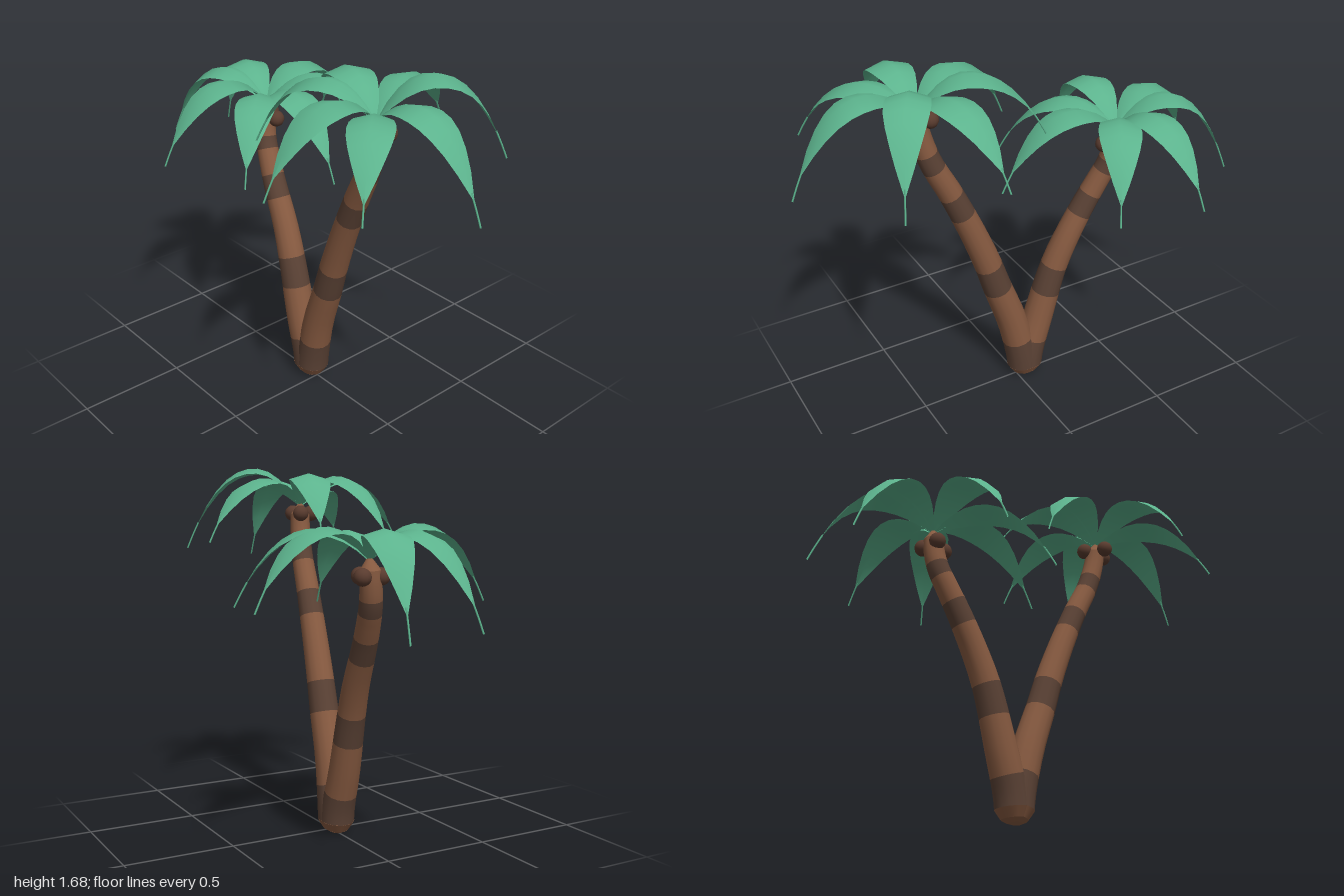
import * as THREE from 'three';

const mat = (name, color, side = THREE.FrontSide) => {
  const m = new THREE.MeshStandardMaterial({ color, side });
  m.name = name;
  return m;
};
const bark = mat('bark', 0x885b41);
const darkBark = mat('darkBark', 0x5b4235);
const nut = mat('coconutBrown', 0x5a3c2f);
const leaf = mat('leafGreen', 0x5cb38d, THREE.DoubleSide);

// One entry per tree: path points, band limits (heights), nuts and fronds [angle, peak, tip]
const TREES = [
  {
    name: 'tallPalm',
    path: [[-0.045, 0, 0], [-0.03, 0.12, 0], [0.018, 0.33, 0.008], [0.094, 0.55, 0.015], [0.142, 0.7, 0.02],
      [0.218, 0.9, 0.03], [0.305, 1.1, 0.042], [0.383, 1.26, 0.054], [0.424, 1.4, 0.064], [0.436, 1.51, 0.07]],
    bands: [0.065, 0.22, 0.54, 0.68, 0.98, 1.09, 1.23, 1.31, 1.46],
    crown: [0.436, 1.5, 0.07],
    nuts: [[0.437, 1.465, 0.13], [0.497, 1.465, 0.06], [0.382, 1.465, 0.045]],
    fronds: [[-1, 0.125, -0.25], [48, 0.1, -0.18], [91, 0.135, -0.18], [159, 0.14, -0.19],
      [197.5, 0.15, -0.15], [255, 0.13, -0.16], [300, 0.18, -0.2]],
  },
  {
    name: 'shortPalm',
    path: [[-0.048, 0, 0], [-0.066, 0.12, 0], [-0.12, 0.3, 0], [-0.2, 0.58, -0.01], [-0.26, 0.73, -0.022],
      [-0.347, 0.9, -0.035], [-0.4, 1.0, -0.048], [-0.448, 1.1, -0.064], [-0.465, 1.18, -0.075], [-0.468, 1.29, -0.085]],
    bands: [0.065, 0.2, 0.45, 0.59, 0.85, 0.95, 1.06, 1.12, 1.24],
    crown: [-0.468, 1.28, -0.085],
    nuts: [[-0.402, 1.215, -0.09], [-0.49, 1.215, -0.13], [-0.48, 1.215, -0.035]],
    fronds: [[6, 0.12, -0.21], [48, 0.11, -0.19], [94, 0.15, -0.18], [161, 0.13, -0.25],
      [196, 0.135, -0.27], [262, 0.14, -0.18], [302, 0.13, -0.19]],
  },
];

// Surface through a grid of points, with optional normals
function grid(rows, cols, point, normal) {
  const pos = [], nor = [], index = [];
  for (let i = 0; i <= rows; i++) {
    for (let j = 0; j <= cols; j++) {
      pos.push(...point(i, j));
      if (normal) nor.push(...normal(i, j));
      if (i < rows && j < cols) {
        const a = i * (cols + 1) + j, c = a + cols + 1;
        index.push(a, a + 1, c, a + 1, c + 1, c);
      }
    }
  }
  const g = new THREE.BufferGeometry();
  g.setAttribute('position', new THREE.Float32BufferAttribute(pos, 3));
  g.setIndex(index);
  if (normal) g.setAttribute('normal', new THREE.Float32BufferAttribute(nor, 3));
  else g.computeVertexNormals();
  return g;
}

function add(parent, name, geometry, material) {
  const m = new THREE.Mesh(geometry, material);
  m.name = name;
  parent.add(m);
  return m;
}

// Curve parameter at a given height
function paramAt(curve, y) {
  let lo = 0, hi = 1;
  for (let k = 0; k < 30; k++) {
    const mid = (lo + hi) / 2;
    if (curve.getPoint(mid).y < y) lo = mid; else hi = mid;
  }
  return lo;
}

// Tapered cylinder centred on the path between two heights
function taper(parent, name, curve, y0, y1, r0, r1, material) {
  const a = curve.getPoint(paramAt(curve, y0)), b = curve.getPoint(paramAt(curve, y1));
  const m = add(parent, name, new THREE.CylinderGeometry(r1, r0, a.distanceTo(b), 14), material);
  m.position.copy(a).add(b).multiplyScalar(0.5);
  m.quaternion.setFromUnitVectors(new THREE.Vector3(0, 1, 0), b.sub(a).normalize());
}

// Banded trunk swept along its path
function addTrunk(tree, spec) {
  const curve = new THREE.CatmullRomCurve3(spec.path.map((p) => new THREE.Vector3(...p)));
  const top = spec.bands[spec.bands.length - 1], sides = 14, rows = 4;
  const radius = (y) => 0.081 - 0.035 * (y / top);
  for (let k = 0; k + 1 < spec.bands.length; k++) {
    const rings = [];
    for (let i = 0; i <= rows; i++) {
      const y = THREE.MathUtils.lerp(spec.bands[k], spec.bands[k + 1], i / rows);
      const t = paramAt(curve, y), tan = curve.getTangent(t);
      const n = new THREE.Vector3(0, 0, 1).addScaledVector(tan, -tan.z).normalize();
      rings.push({ c: curve.getPoint(t), n, b: tan.clone().cross(n), r: radius(y) });
    }
    const out = (i, j) => {
      const a = (j / sides) * Math.PI * 2;
      return rings[i].n.clone().multiplyScalar(Math.cos(a)).addScaledVector(rings[i].b, Math.sin(a));
    };
    const geo = grid(rows, sides, (i, j) => out(i, j).multiplyScalar(rings[i].r).add(rings[i].c), out);
    add(tree, k % 2 ? 'trunkBand' : 'darkTrunkBand', geo, k % 2 ? bark : darkBark);
  }
  // Rounded foot in two steps, and a narrow tip under the crown
  taper(tree, 'trunkFoot', curve, 0.022, 0.065, 0.056, 0.08, bark);
  taper(tree, 'trunkFootEnd', curve, 0.006, 0.022, 0.03, 0.056, bark);
  taper(tree, 'trunkTip', curve, top, top + 0.05, 0.046, 0.012, bark);
}

// Arching, ridged leaf with a thin stem at its tip
function addFrond(crown, [angle, peak, tip]) {
  const reach = 0.555, blade = 0.512, crest = 0.22, rows = 10;
  // Rises to the crest, then droops ever more steeply
  const height = (x) => (x < crest
    ? peak * (1 - (1 - x / crest) ** 2)
    : peak - (peak - tip) * ((x - crest) / (reach - crest)) ** 2.2);
  const frond = new THREE.Group();
  frond.name = 'frond';
  frond.rotation.y = -THREE.MathUtils.degToRad(angle);
  add(frond, 'leafBlade', grid(rows, 2, (i, j) => {
    const u = i / rows, x = u * blade;
    const w = 0.004 + 0.088 * Math.pow(Math.max(0, Math.sin(Math.PI * u)), 0.87);
    return [x, height(x) - (j === 1 ? 0 : 0.3 * w), (j - 1) * w];
  }), leaf);
  const line = [0.5, 0.53, reach].map((x) => new THREE.Vector3(x, height(x) - 0.004, 0));
  add(frond, 'leafTip', new THREE.TubeGeometry(new THREE.CatmullRomCurve3(line), 4, 0.004, 5), leaf);
  crown.add(frond);
}

export function createModel() {
  const model = new THREE.Group();
  model.name = 'twinPalms';
  for (const spec of TREES) {
    const tree = new THREE.Group();
    tree.name = spec.name;
    addTrunk(tree, spec);
    for (const p of spec.nuts) {
      add(tree, 'coconut', new THREE.SphereGeometry(0.038, 14, 10), nut).position.set(...p);
    }
    const crown = new THREE.Group();
    crown.name = 'crown';
    crown.position.set(...spec.crown);
    for (const f of spec.fronds) addFrond(crown, f);
    tree.add(crown);
    model.add(tree);
  }
  return model;
}
